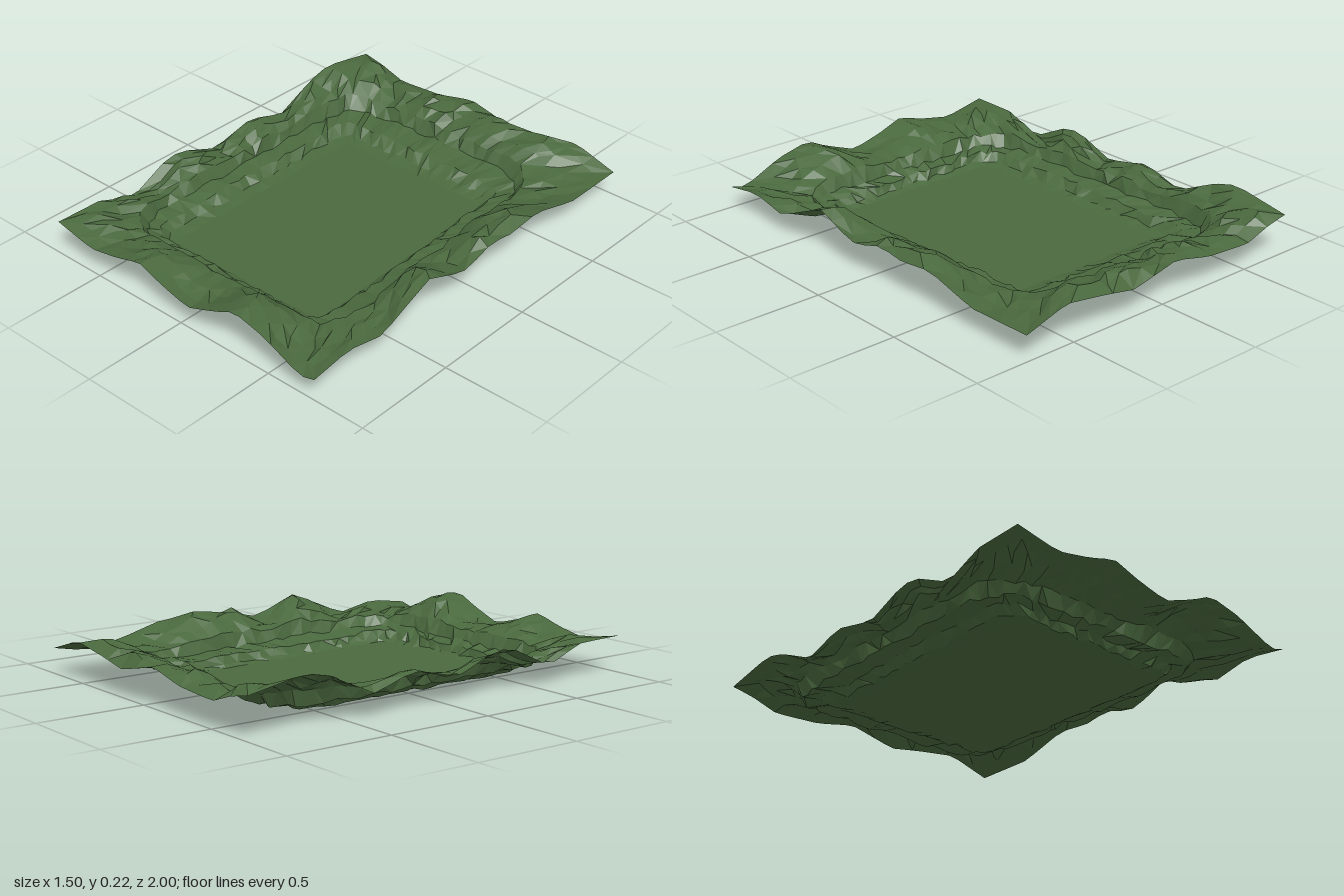
import * as THREE from 'three';

const HALF_X = 0.75, HALF_Z = 1, STEPS = 26;
const material = new THREE.MeshStandardMaterial({ color: 0x4a693e, flatShading: true, side: THREE.DoubleSide });

// Repeatable noise in the range -1..1
let seed = 11;
const noise = () => {
  seed = (seed * 16807) % 2147483647;
  return (seed / 2147483647) * 2 - 1;
};

// Height along each outer edge as [fraction, y], going back, right, front, left
const edgeHeights = [
  [[0, .18], [.07, .16], [.16, .115], [.32, .13], [.45, .175], [.61, .12], [.72, .15], [.86, .18], [1, .115]],
  [[0, .115], [.16, .11], [.29, .18], [.38, .16], [.45, .18], [.53, .13], [.59, .16], [.65, .215], [.72, .16], [.8, .09], [.9, .13], [1, .1]],
  [[0, .1], [.05, .08], [.18, .17], [.29, .21], [.36, .16], [.47, .1], [.57, .14], [.66, .19], [.75, .15], [.86, .12], [1, .165]],
  [[0, .165], [.12, .16], [.21, .085], [.31, .18], [.36, .195], [.47, .11], [.59, .165], [.69, .1], [.8, .2], [.86, .23], [1, .18]],
];

// Mounds on the border: x, z, height, radius
const mounds = [
  [.14, -.9, .07, .12], [.4, -.9, .04, .12], [-.62, -.88, .04, .14], [-.2, -.9, .04, .12],
  [.65, -.28, .04, .14], [.66, -.1, .03, .08], [.67, .3, .03, .09], [-.69, -.3, .03, .1],
  [.32, .86, .04, .1], [-.24, .88, .025, .09], [-.6, .88, .03, .1], [-.42, -.92, .025, .09],
];

function heightAt(profile, s) {
  const k = Math.max(1, profile.findIndex(([t]) => t >= s));
  const [t0, y0] = profile[k - 1], [t1, y1] = profile[k];
  return THREE.MathUtils.mapLinear(s, t0, t1, y0, y1);
}

const moundAt = (x, z) => mounds.reduce(
  (sum, [mx, mz, h, r]) => sum + h * Math.exp(-((x - mx) ** 2 + (z - mz) ** 2) / (r * r)), 0);

// Closed loop of points round a four-cornered outline, its corners rounded by smoothing
function ring(x0, x1, x2, x3, zBack, zFront, y, rounding, jitter, yJitter = 0) {
  const corners = [[x0, zBack], [x1, zBack], [x2, zFront], [x3, zFront]].map(([x, z]) => new THREE.Vector3(x, y, z));
  let points = [];
  corners.forEach((c, side) => {
    for (let i = 0; i < STEPS; i++) points.push(c.clone().lerp(corners[(side + 1) % 4], i / STEPS));
  });
  for (let pass = 0; pass < rounding; pass++) {
    const n = points.length;
    points = points.map((p, i) =>
      p.clone().multiplyScalar(2).add(points[(i + 1) % n]).add(points[(i + n - 1) % n]).multiplyScalar(0.25));
  }
  for (const p of points) {
    p.x += noise() * jitter;
    p.z += noise() * jitter;
    p.y += noise() * yJitter;
  }
  return points;
}

// Surface joining a series of rings, from the inside out
function bank(name, rings) {
  const n = rings[0].length, index = [];
  for (let r = 0; r < rings.length - 1; r++) {
    for (let i = 0; i < n; i++) {
      const a = r * n + i, b = r * n + (i + 1) % n;
      const c = a + n, d = b + n;
      if ((i + r) % 2) index.push(a, b, c, b, d, c);
      else index.push(a, b, d, a, d, c);
    }
  }
  return surface(name, rings.flat(), index);
}

function surface(name, points, index) {
  const geometry = new THREE.BufferGeometry().setFromPoints(points);
  geometry.setIndex(index);
  geometry.computeVertexNormals();
  const mesh = new THREE.Mesh(geometry, material);
  mesh.name = name;
  return mesh;
}

export function createModel() {
  seed = 11;
  const group = new THREE.Group();
  group.name = 'terrainBasin';

  // Outer rectangle with its wavy height
  const outer = ring(-HALF_X, HALF_X, HALF_X, -HALF_X, -HALF_Z, HALF_Z, 0, 0, 0);
  outer.forEach((p, i) => { p.y = heightAt(edgeHeights[Math.floor(i / STEPS)], (i % STEPS) / STEPS); });

  // Stepped outlines of the basin; the wall top echoes the outer edge
  const floorFlat = ring(-.45, .37, .41, -.45, -.52, .61, 0, 1, .005);
  const floorEdge = ring(-.505, .39, .43, -.5, -.575, .64, .012, 3, .012, .006);
  const ledgeInner = ring(-.54, .41, .46, -.54, -.63, .665, .045, 4, .012, .008);
  const ledgeOuter = ring(-.615, .48, .565, -.615, -.748, .72, .058, 16, .01, .01);
  const wallTop = ring(-.64, .5, .59, -.64, -.785, .75, .108, 16, .008, .01);
  wallTop.forEach((p, i) => { p.y += (outer[i].y - 0.14) * 0.3; });

  // Hilly border between the wall top and the outer edge
  const hills = [0.25, 0.5, 0.75].map((f) => wallTop.map((p, i) => {
    const q = p.clone().lerp(outer[i], f);
    q.x += noise() * 0.012;
    q.z += noise() * 0.012;
    q.y = THREE.MathUtils.clamp(
      THREE.MathUtils.lerp(p.y, outer[i].y, Math.pow(f, 0.8)) + moundAt(q.x, q.z) + noise() * 0.012, 0.085, 0.225);
    return q;
  }));

  // Flat floor
  const n = floorFlat.length, fan = [];
  for (let i = 0; i < n; i++) fan.push((i + 1) % n, i, n);
  group.add(surface('basinFloor', [...floorFlat, new THREE.Vector3(-.04, 0, .02)], fan));

  group.add(bank('lowerBank', [floorFlat, floorEdge, ledgeInner]));
  group.add(bank('ledge', [ledgeInner, ledgeOuter]));
  group.add(bank('upperBank', [ledgeOuter, wallTop]));
  group.add(bank('hillyBorder', [wallTop, ...hills, outer]));
  return group;
}
